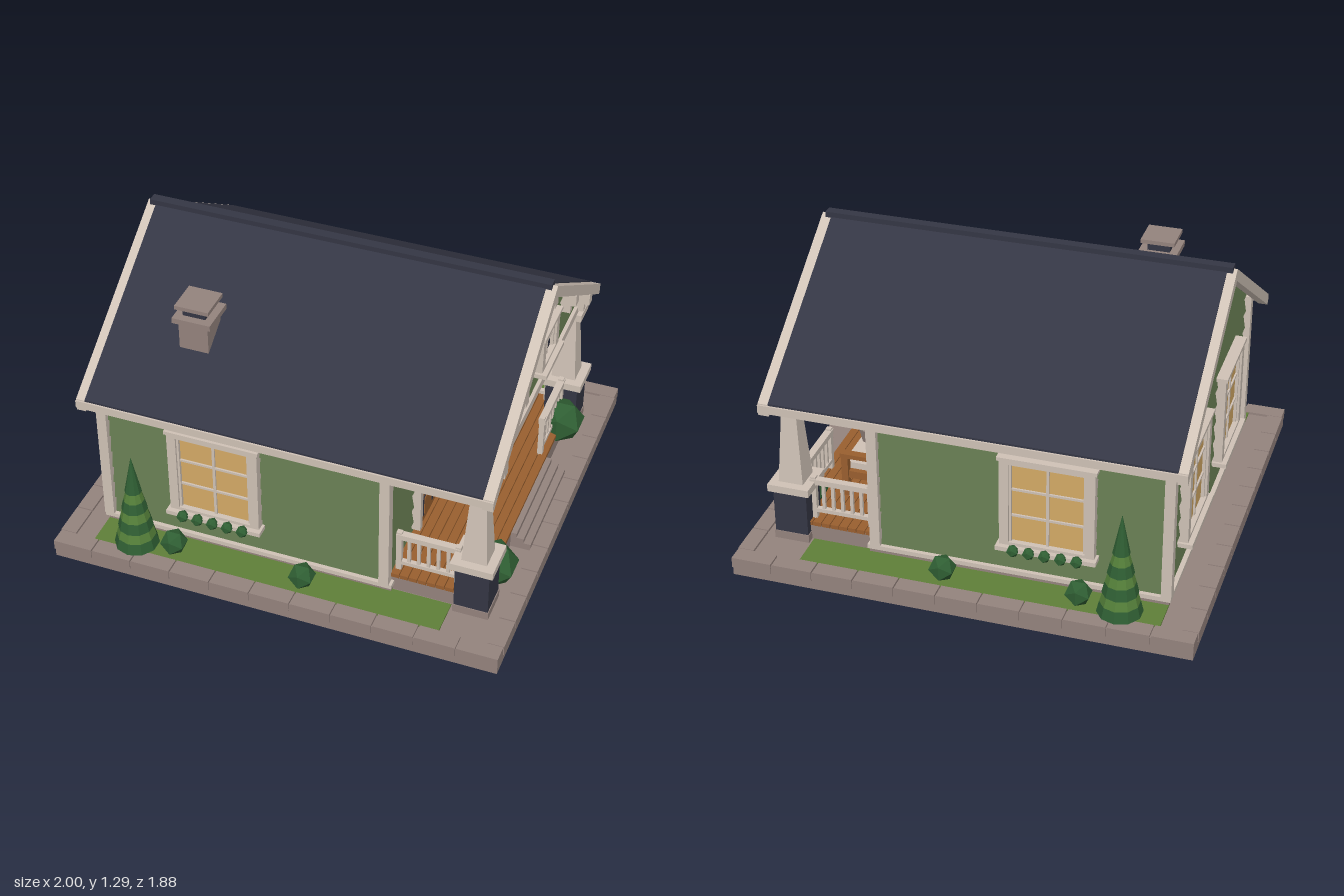
import * as THREE from 'three';

const mat = (name, color) => {
  const m = new THREE.MeshStandardMaterial({ color });
  m.name = name;
  m.flatShading = true;
  return m;
};

export function createModel() {
  const navy = mat('navy', 0x343644), green = mat('siding green', 0x657a50), cream = mat('cream trim', 0xcfc2b6),
    stone = mat('stone', 0x94837d), wood = mat('wood', 0x995f2f), glow = mat('lit glass', 0xd4aa66),
    leaf = mat('dark leaf', 0x2f5e33), lime = mat('light leaf', 0x55803a), lawn = mat('grass', 0x5f7f38);
  const model = new THREE.Group();
  model.name = 'cottage';

  const group = (name, parent = model) => {
    const g = new THREE.Group();
    g.name = name;
    parent.add(g);
    return g;
  };
  const add = (parent, name, geo, m, x = 0, y = 0, z = 0) => {
    const mesh = new THREE.Mesh(geo, m);
    mesh.name = name;
    mesh.position.set(x, y, z);
    parent.add(mesh);
    return mesh;
  };
  // Box given by its minimum and maximum on each axis
  const box = (parent, name, m, x0, x1, y0, y1, z0, z1) => add(parent, name,
    new THREE.BoxGeometry(x1 - x0, y1 - y0, z1 - z0), m, (x0 + x1) / 2, (y0 + y1) / 2, (z0 + z1) / 2);
  // Extrusion of a z-y outline along x
  const alongX = (pts, x0, x1) => {
    const s = new THREE.Shape(pts.map(p => new THREE.Vector2(...p)));
    return new THREE.ExtrudeGeometry(s, { depth: x1 - x0, bevelEnabled: false }).rotateY(Math.PI / 2).translate(x0, 0, 0);
  };

  // Base slab with edging pavers and lawn strips
  const base = group('base');
  box(base, 'slab', stone, -0.995, 0.995, 0, 0.075, -0.935, 0.935);
  for (const s of [-1, 1]) {
    for (let i = 0; i < 11; i++) {
      const x = -1 + i * 2 / 11, z = s * 0.9025;
      box(base, 'paver', stone, x + 0.003, x + 2 / 11 - 0.003, 0.04, 0.086, z - 0.0375, z + 0.0375);
    }
    for (let i = 0; i < 11; i++) {
      const z = -0.865 + i * 1.73 / 11, x = s * 0.965;
      box(base, 'paver', stone, x - 0.035, x + 0.035, 0.04, 0.086, z + 0.003, z + 1.73 / 11 - 0.003);
    }
    box(base, 'lawn', lawn, -0.84, 0.72, 0.07, 0.083, Math.min(s * 0.7, s * 0.865), Math.max(s * 0.7, s * 0.865));
  }

  // House body
  const house = group('house');
  box(house, 'foundation', stone, -0.84, 0.46, 0.07, 0.108, -0.715, 0.715);
  box(house, 'waterTable', cream, -0.85, 0.465, 0.105, 0.125, -0.728, 0.728);
  add(house, 'core', alongX([[-0.69, 0.12], [0.69, 0.12], [0.69, 0.8], [0, 1.25], [-0.69, 0.8]], -0.81, 0.43), green);

  // Lap siding: every board leans outward at its lower edge
  const H = 0.0855, gableHalf = y => Math.max(0.004, Math.min(0.69, (1.255 - y) / 0.654));
  const siding = (name, half, first, last, x, z, turn) => {
    const g = group(name);
    for (let i = first; i < last; i++) {
      const y0 = 0.12 + i * H, y1 = Math.min(y0 + H, 1.25), a = half(y0), b = half(y1);
      const s = new THREE.Shape([[-a, y0], [a, y0], [b, y1], [-b, y1]].map(p => new THREE.Vector2(...p)));
      const geo = new THREE.ExtrudeGeometry(s, { depth: 0.02, bevelEnabled: false }), p = geo.attributes.position;
      for (let k = 0; k < p.count; k++)
        if (p.getZ(k) > 0.01) p.setZ(k, 0.02 - 0.014 * (p.getY(k) - y0) / H);
      geo.computeVertexNormals();
      add(g, 'board', geo, green);
    }
    g.position.set(x, 0, z);
    g.rotation.y = turn;
  };
  const Q = Math.PI / 2;
  siding('rearWall', gableHalf, 0, 14, -0.81, 0, -Q);
  siding('entryWall', gableHalf, 0, 14, 0.43, 0, Q);
  siding('porchGable', gableHalf, 7, 14, 0.82, 0, Q);
  siding('leftSideWall', () => 0.62, 0, 8, -0.19, 0.69, 0);
  siding('rightSideWall', () => 0.62, 0, 8, -0.19, -0.69, Math.PI);
  for (const x of [-0.83, 0.43]) for (const z of [-0.708, 0.708])
    box(house, 'cornerBoard', cream, x - 0.022, x + 0.022, 0.12, 0.79, z - 0.022, z + 0.022);

  // Windows, built facing +z with the wall at z = 0
  const windowUnit = (name, w, h, rows, pane, x, y, z, turn) => {
    const g = group(name), W = w / 2, T = h / 2, f = 0.04;
    for (const s of [-1, 1]) {
      add(g, 'jamb', new THREE.BoxGeometry(f, h, 0.05), cream, s * (W + f / 2), 0, 0.025);
      add(g, 'rail', new THREE.BoxGeometry(w + 2 * f, 0.03, 0.05), cream, 0, s * (T + 0.015), 0.025);
      add(g, 'sash', new THREE.BoxGeometry(0.01, h, 0.04), cream, s * (W - 0.005), 0, 0.02);
    }
    box(g, 'head', cream, -W - f - 0.008, W + f + 0.008, T + 0.018, T + 0.034, 0, 0.058);
    box(g, 'sill', cream, -W - f - 0.012, W + f + 0.012, -T - 0.034, -T - 0.014, 0, 0.072);
    box(g, 'glass', pane, -W, W, -T, T, 0.02, 0.026);
    box(g, 'mullion', cream, -0.006, 0.006, -T, T, 0.024, 0.034);
    for (let i = 1; i < rows; i++) {
      const v = -T + h * i / rows;
      box(g, 'muntin', cream, -W, W, v - 0.005, v + 0.005, 0.024, 0.034);
    }
    g.position.set(x, y, z);
    g.rotation.y = turn;
    return g;
  };
  const bush = (parent, name, r, x, y, z) => add(parent, name, new THREE.IcosahedronGeometry(r, 0), leaf, x, y, z);
  for (const s of [-1, 1]) {
    const g = windowUnit('sideWindow', 0.325, 0.375, 3, glow, -0.325, 0.46, s * 0.69, s > 0 ? 0 : Math.PI);
    for (let i = -2; i <= 2; i++) bush(g, 'windowPlant', 0.028, i * 0.068, -0.21, 0.075);
    windowUnit('rearWindow', 0.3, 0.375, 3, glow, -0.815, 0.46, s * 0.32, -Q);
  }
  windowUnit('porchWindow', 0.265, 0.375, 3, glow, 0.435, 0.46, -0.18, Q);
  windowUnit('atticWindow', 0.155, 0.13, 2, navy, 0.84, 0.995, 0, Q);

  // Roof, barge boards, eaves and ridge
  const roof = group('roof');
  const chevron = (top, t) => [[-0.78, top - 0.51 - t], [0, top - t], [0.78, top - 0.51 - t], [0.78, top - 0.51], [0, top], [-0.78, top - 0.51]];
  add(roof, 'shingles', alongX(chevron(1.285, 0.03), -0.87, 0.855), navy);
  add(roof, 'rearBarge', alongX(chevron(1.28, 0.055), -0.91, -0.868), cream);
  add(roof, 'frontBarge', alongX(chevron(1.28, 0.055), 0.853, 0.9), cream);
  box(roof, 'ridgeCap', navy, -0.895, 0.88, 1.268, 1.293, -0.022, 0.022);
  for (const s of [-1, 1]) box(roof, 'eaveBoard', cream, -0.91, 0.9, 0.73, 0.766, s * 0.78 - 0.008, s * 0.78 + 0.008);
  for (const z of [-0.62, -0.365, 0, 0.365, 0.62]) {
    const top = 1.235 - 0.654 * Math.abs(z);
    box(roof, 'bracketHead', cream, 0.83, 0.9, top - 0.055, top, z - 0.022, z + 0.022);
    box(roof, 'bracketFoot', cream, 0.83, 0.875, top - 0.1, top - 0.05, z - 0.015, z + 0.015);
  }

  // Chimney
  const chimney = group('chimney');
  const stack = (name, m, w, y0, y1) => box(chimney, name, m, -0.485 - w / 2, -0.485 + w / 2, y0, y1, 0.45 - w / 2, 0.45 + w / 2);
  stack('stack', stone, 0.13, 0.85, 1.085);
  stack('shoulder', stone, 0.17, 1.08, 1.105);
  stack('flue', navy, 0.1, 1.1, 1.148);
  stack('cap', stone, 0.15, 1.145, 1.163);

  // Porch: deck, steps, beam, columns
  const porch = group('porch');
  box(porch, 'deckBase', stone, 0.44, 0.84, 0.07, 0.148, -0.69, 0.69);
  for (let i = 0; i < 10; i++) {
    const x = 0.45 + i * 0.0395;
    box(porch, 'deckBoard', wood, x, x + 0.036, 0.146, 0.165, -0.695, 0.695);
  }
  for (let i = 0; i < 3; i++) box(porch, 'step', stone, 0.82, 0.93 - i * 0.032, 0.075, 0.107 + i * 0.022, -0.265, 0.265);
  box(porch, 'beam', cream, 0.77, 0.85, 0.712, 0.752, -0.71, 0.71);
  for (const s of [-1, 1]) {
    const g = group('column', porch);
    g.position.set(0.81, 0, s * 0.65);
    const tile = (name, m, w, y0, y1) => box(g, name, m, -w / 2, w / 2, y0, y1, -w / 2, w / 2);
    tile('footing', stone, 0.155, 0.075, 0.112);
    tile('pier', navy, 0.148, 0.11, 0.318);
    tile('pierCap', cream, 0.185, 0.316, 0.35);
    tile('capital', cream, 0.125, 0.682, 0.716);
    const shaft = new THREE.CylinderGeometry(0.033 * Math.SQRT2, 0.055 * Math.SQRT2, 0.335, 4).rotateY(Math.PI / 4);
    add(g, 'shaft', shaft, cream, 0, 0.515, 0);
    add(g, 'brace', new THREE.BoxGeometry(0.14, 0.028, 0.03), cream, -0.11, 0.7, 0).rotation.z = -0.45;
  }

  // Railings run along local x
  const railing = (name, len, x, z, turn) => {
    const g = group(name, porch), n = Math.round(len / 0.045);
    box(g, 'topRail', cream, 0, len, 0.335, 0.36, -0.016, 0.016);
    box(g, 'bottomRail', cream, 0, len, 0.195, 0.213, -0.011, 0.011);
    for (let i = 0; i <= n; i++) {
      const end = i === 0 || i === n, w = end ? 0.012 : 0.007, u = 0.012 + (len - 0.024) * i / n;
      box(g, 'baluster', cream, u - w, u + w, end ? 0.16 : 0.2, end ? 0.368 : 0.34, -w, w);
    }
    g.position.set(x, 0, z);
    g.rotation.y = turn;
  };
  railing('leftRailing', 0.28, 0.46, 0.65, 0);
  railing('rightRailing', 0.28, 0.46, -0.65, 0);
  railing('frontRailing', 0.32, 0.81, -0.26, Q);

  // Door, built facing +z and turned to +x
  const door = group('door');
  door.position.set(0.44, 0, 0.25);
  door.rotation.y = Q;
  box(door, 'leaf', wood, -0.13, 0.13, 0.165, 0.64, 0, 0.03);
  for (const s of [-1, 1]) box(door, 'casing', cream, s * 0.143 - 0.015, s * 0.143 + 0.015, 0.165, 0.67, 0, 0.04);
  box(door, 'lintel', cream, -0.16, 0.16, 0.637, 0.67, 0, 0.045);
  for (const u of [-0.058, 0.058]) {
    box(door, 'light', glow, u - 0.028, u + 0.028, 0.535, 0.585, 0.028, 0.034);
    for (const v of [0.25, 0.4]) {
      box(door, 'panelEdge', navy, u - 0.043, u + 0.043, v - 0.054, v + 0.054, 0.028, 0.033);
      box(door, 'panel', wood, u - 0.033, u + 0.033, v - 0.044, v + 0.044, 0.03, 0.037);
    }
  }
  add(door, 'knob', new THREE.SphereGeometry(0.012, 8, 6), navy, -0.113, 0.395, 0.042);

  // Wall lantern
  const lantern = group('lantern');
  lantern.position.set(0.503, 0, 0.055);
  box(lantern, 'arm', navy, -0.06, 0, 0.595, 0.61, -0.01, 0.01);
  add(lantern, 'hood', new THREE.CylinderGeometry(0.012, 0.042, 0.03, 6), navy, 0, 0.602);
  add(lantern, 'lamp', new THREE.CylinderGeometry(0.026, 0.022, 0.075, 6), glow, 0, 0.553);
  add(lantern, 'foot', new THREE.CylinderGeometry(0.03, 0.024, 0.014, 6), navy, 0, 0.512);
  for (let i = 0; i < 6; i++) {
    const a = i * Math.PI / 3;
    add(lantern, 'bar', new THREE.BoxGeometry(0.007, 0.075, 0.007), navy, 0.026 * Math.sin(a), 0.553, 0.026 * Math.cos(a));
  }

  // Hanging basket
  const basket = group('hangingBasket');
  basket.position.set(0.53, 0, -0.495);
  add(basket, 'pot', new THREE.CylinderGeometry(0.044, 0.03, 0.062, 8), stone, 0, 0.525);
  for (let i = 0; i < 3; i++) {
    const a = i * Math.PI * 2 / 3, c = new THREE.LineCurve3(new THREE.Vector3(0, 0.71, 0),
      new THREE.Vector3(0.042 * Math.sin(a), 0.555, 0.042 * Math.cos(a)));
    add(basket, 'cord', new THREE.TubeGeometry(c, 1, 0.003, 4), wood);
    bush(basket, 'foliage', 0.03, 0.018 * Math.sin(a), 0.57, 0.018 * Math.cos(a));
  }

  // Porch bench with cushions
  const bench = group('bench');
  bench.position.set(0.58, 0, -0.25);
  for (const s of [-1, 1]) {
    const z = s * 0.195;
    box(bench, 'backPost', wood, -0.1, -0.07, 0.16, 0.47, z - 0.015, z + 0.015);
    box(bench, 'frontPost', wood, 0.07, 0.1, 0.16, 0.36, z - 0.015, z + 0.015);
    box(bench, 'armRest', wood, -0.1, 0.105, 0.355, 0.375, z - 0.018, z + 0.018);
    const pillow = add(bench, 'pillow', new THREE.BoxGeometry(0.035, 0.115, 0.12), stone, -0.015, 0.375, s * 0.095);
    pillow.rotation.set(s * 0.1, 0, 0.25);
  }
  box(bench, 'seat', wood, -0.1, 0.1, 0.25, 0.285, -0.2, 0.2);
  box(bench, 'seatCushion', cream, -0.07, 0.1, 0.285, 0.315, -0.175, 0.175);
  box(bench, 'backRail', wood, -0.098, -0.075, 0.45, 0.47, -0.2, 0.2);
  box(bench, 'backCushion', cream, -0.085, -0.05, 0.315, 0.455, -0.18, 0.18);

  // Planting
  const garden = group('garden');
  for (const s of [-1, 1]) {
    bush(garden, 'porchBush', 0.108, 0.84, 0.185, s * 0.505);
    for (const x of [-0.485, 0.1]) bush(garden, 'smallBush', 0.06, x, 0.14, s * 0.815);
    const tree = group('conifer', garden);
    tree.position.set(-0.66, 0, s * 0.815);
    // Tiers of alternating skirts under a pointed top
    for (let i = 0; i < 4; i++) {
      const y = 0.088 + i * 0.095, r = 0.097 - i * 0.02, h = i === 3 ? 0.182 : 0.05;
      add(tree, 'lowerSkirt', new THREE.CylinderGeometry(i === 3 ? 0 : r - 0.012, r, h, 10), leaf, 0, y + h / 2);
      if (i < 3) add(tree, 'upperSkirt', new THREE.CylinderGeometry(r - 0.026, r - 0.012, 0.05, 10), lime, 0, y + 0.075);
    }
  }
  return model;
}
